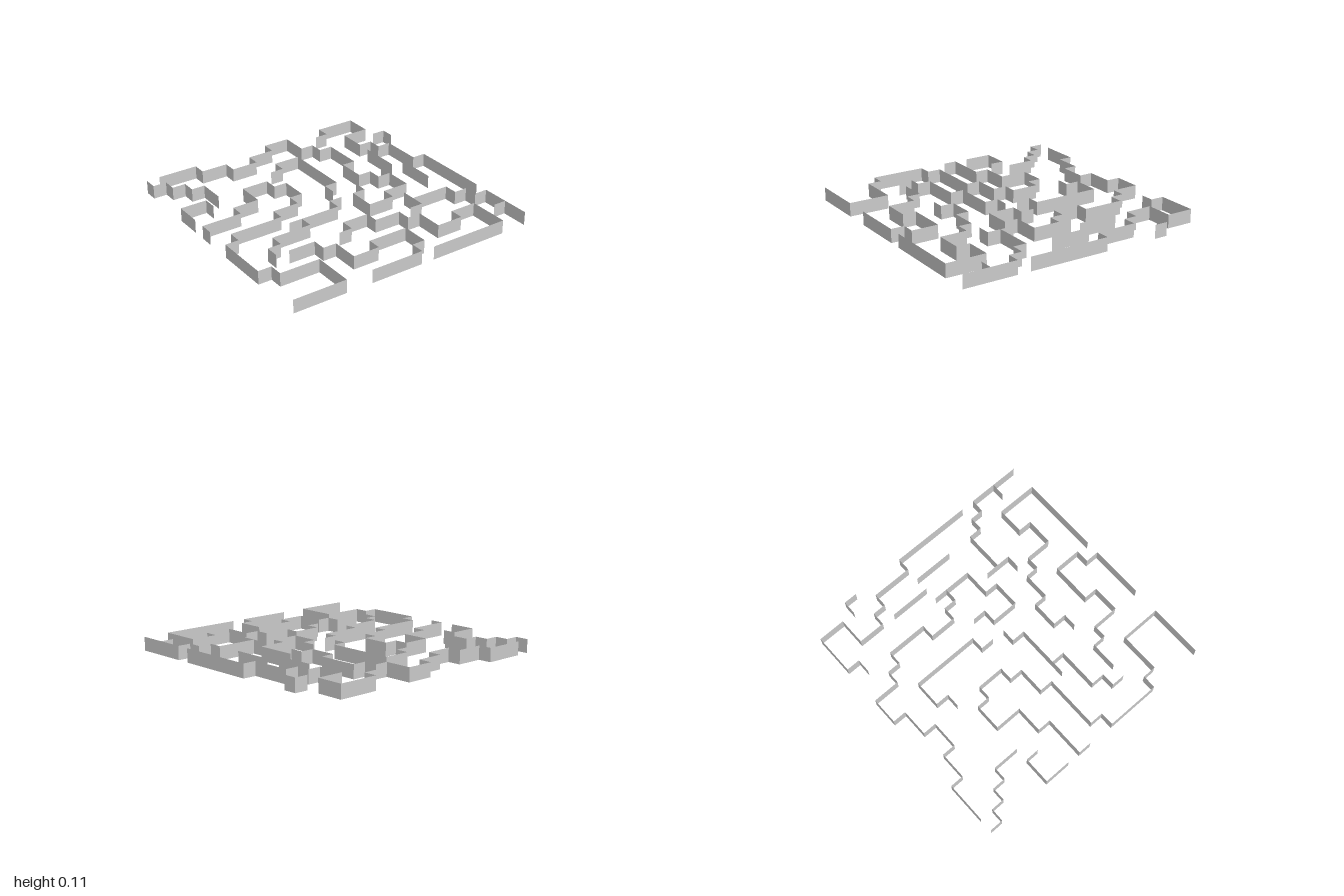
import * as THREE from 'three';
import { mergeGeometries } from 'three/addons/utils/BufferGeometryUtils.js';

const CELLS = 19;           // the maze is 19 x 19 cells
const CELL = 2 / CELLS;     // cell size, also the wall height

// One zero-thickness upright panel between two grid points
function panel(x0, z0, x1, z1) {
  const length = Math.hypot(x1 - x0, z1 - z0) * CELL;
  const g = new THREE.PlaneGeometry(length, CELL);
  if (x0 === x1) g.rotateY(Math.PI / 2);
  return g.translate((x0 + x1) / 2 * CELL - 1, CELL / 2, (z0 + z1) / 2 * CELL - 1);
}

// A folded wall: starts at a grid point and runs alternately along x and z
function wall(name, x, z, axis, runs, material) {
  const panels = runs.map((run, i) => {
    const alongX = (axis === 'x') === (i % 2 === 0);
    const nx = x + (alongX ? run : 0), nz = z + (alongX ? 0 : run);
    const g = panel(x, z, nx, nz);
    x = nx; z = nz;
    return g;
  });
  const mesh = new THREE.Mesh(mergeGeometries(panels), material);
  mesh.name = name;
  return mesh;
}

export function createModel() {
  const group = new THREE.Group();
  group.name = 'mazeWalls';
  const material = new THREE.MeshStandardMaterial({ color: 0xcccccc, side: THREE.DoubleSide, flatShading: true });
  const add = (name, x, z, axis, runs) => group.add(wall(name, x, z, axis, runs, material));

  // Back walls
  add('backLeftCornerWall', 0, 0, 'z', [1, 1, 1, 1, 1, 1, 2]);
  add('backWall', 1, 0, 'x', [3, 1, 2, 1, 2, -1, 2, -1, 2, 2, 1, 1, 1, 3, -1, 2, 1, 1, 1]);
  add('backRightWall', 14, 1, 'x', [1, -1, 3, 2, -2, 2, 1, 1, 1, 3, 1, 6]);
  add('backRightHook', 18, 3, 'x', [1, 1]);

  // Left walls
  add('leftHook', 0, 7, 'z', [-2, 2, 1]);
  add('leftWall', 0, 9, 'z',
    [-1, 3, -1, 2, -2, 2, 1, 1, 2, -1, 1, -2, 1, -4, 1, -1, 4, 1, 1, 3, 3, -4]);

  // Middle walls
  add('centreBackWall', 8, 4, 'x', [1, -1, 2, 5, -1, 1]);
  add('centreSpiralWall', 15, 8, 'z', [3, -2, 1, -2, -2, 1, -1]);
  add('centreLeftWall', 5, 11, 'x', [4, -1, 1]);
  add('centreLeftBranch', 6, 11, 'z', [1, -3, 1, -1, 1]);
  add('straightWallBack', 16, 5, 'z', [3]);
  add('straightWallFront', 17, 8, 'z', [3]);

  // Front and right walls
  add('frontLeftWall', 3, 14, 'x', [2, 1, 1, 2, 2, -1, 3, 2, -1, 1, -4]);
  add('frontWall', 7, 14, 'x', [1, -1, 2, 1, 2, 1, 1, 2, 2, -1, 2, 3, -6]);
  add('rightSpur', 13, 14, 'x', [1, -2]);
  add('rightWall', 14, 13, 'x', [3, 1, 1, 1, 1, 4]);
  add('frontRightStub', 18, 17, 'x', [1]);

  return group;
}
